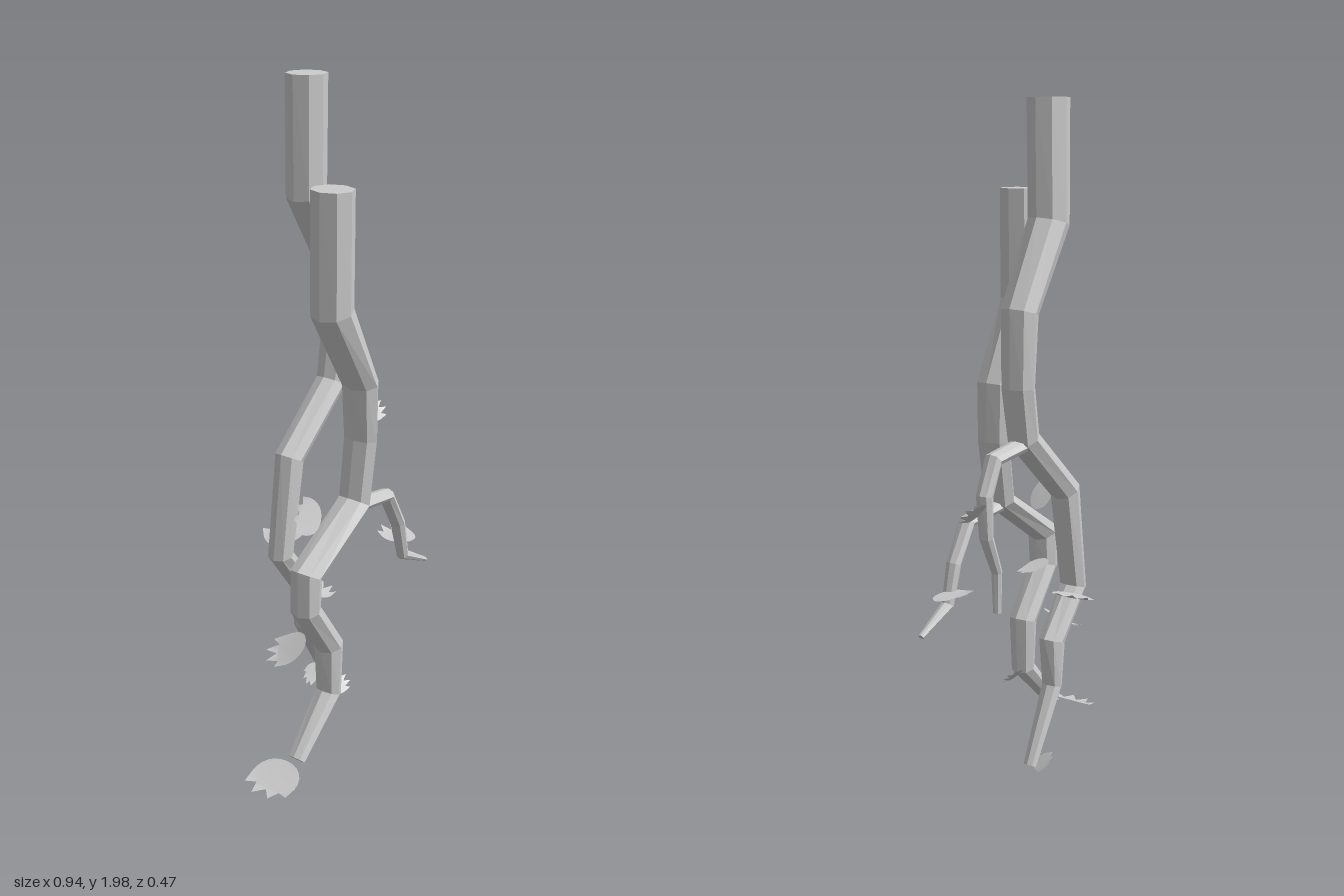
import * as THREE from 'three';

const SIDES = 8;

// Eight-sided tapering stem in a plane of constant z.
// Each point: [x, y, half width in the plane, half depth along z]
function stem(name, z, pts, material) {
  const pos = [], index = [];
  const n = pts.length;
  const dirs = pts.slice(1).map((p, i) => new THREE.Vector2(p[0] - pts[i][0], p[1] - pts[i][1]).normalize());
  pts.forEach(([x, y, a, b], i) => {
    const t = dirs[Math.max(i - 1, 0)].clone().add(dirs[Math.min(i, n - 2)]).normalize();
    for (let k = 0; k < SIDES; k++) {
      const u = (k / SIDES) * Math.PI * 2;
      pos.push(x - t.y * a * Math.cos(u), y + t.x * a * Math.cos(u), z + b * Math.sin(u));
    }
  });
  for (let i = 0; i < n - 1; i++) {
    for (let k = 0; k < SIDES; k++) {
      const a = i * SIDES + k, b = i * SIDES + (k + 1) % SIDES;
      index.push(a, b, a + SIDES, b, b + SIDES, a + SIDES);
    }
  }
  // end caps
  const last = (n - 1) * SIDES;
  for (let k = 1; k < SIDES - 1; k++) {
    index.push(0, k + 1, k, last, last + k, last + k + 1);
  }
  const g = new THREE.BufferGeometry();
  g.setAttribute('position', new THREE.Float32BufferAttribute(pos, 3));
  g.setIndex(index);
  g.computeVertexNormals();
  const mesh = new THREE.Mesh(g, material);
  mesh.name = name;
  return mesh;
}

// Rounded leaf with a toothed tip: unit length along +y, unit width along x
function leafGeometry() {
  const s = new THREE.Shape();
  s.moveTo(0, 0);
  s.bezierCurveTo(0.3, 0, 0.5, 0.2, 0.5, 0.5);
  [[0.45, 0.82], [0.27, 0.7], [0.16, 1], [0, 0.76], [-0.2, 0.98], [-0.28, 0.72], [-0.48, 0.78], [-0.5, 0.5]]
    .forEach(([x, y]) => s.lineTo(x, y));
  s.bezierCurveTo(-0.5, 0.2, -0.3, 0, 0, 0);
  const g = new THREE.ShapeGeometry(s, 6);
  // cup the blade slightly
  const p = g.attributes.position;
  for (let i = 0; i < p.count; i++) {
    p.setZ(i, 0.2 * p.getX(i) ** 2 - 0.1 * Math.sin(Math.PI * p.getY(i)));
  }
  g.computeVertexNormals();
  return g;
}

// Place a leaf from its base to its tip, facing roughly along "facing"
function leaf(name, geometry, material, base, tip, facing, width) {
  const b = new THREE.Vector3(...base);
  const d = new THREE.Vector3(...tip).sub(b);
  const length = d.length();
  d.normalize();
  const side = new THREE.Vector3().crossVectors(d, new THREE.Vector3(...facing)).normalize();
  const normal = new THREE.Vector3().crossVectors(side, d);
  const mesh = new THREE.Mesh(geometry, material);
  mesh.quaternion.setFromRotationMatrix(new THREE.Matrix4().makeBasis(side, d, normal));
  mesh.scale.set(width, length, length);
  mesh.position.copy(b);
  mesh.name = name;
  return mesh;
}

export function createModel() {
  const root = new THREE.Group();
  root.name = 'hangingVines';
  const bark = new THREE.MeshStandardMaterial({ color: 0xcccccc, flatShading: true });
  const blade = new THREE.MeshStandardMaterial({ color: 0xcccccc, side: THREE.DoubleSide });
  const zf = 0.165, zb = -0.087;

  // front vine with its side branch
  const front = new THREE.Group();
  front.name = 'frontVine';
  front.add(
    stem('frontStem', zf, [
      [-0.145, 1.74, 0.058, 0.064], [-0.145, 1.4, 0.058, 0.064], [-0.013, 1.16, 0.042, 0.061],
      [-0.008, 0.99, 0.035, 0.058], [-0.035, 0.8, 0.037, 0.055], [-0.262, 0.65, 0.046, 0.05],
      [-0.265, 0.54, 0.04, 0.049], [-0.155, 0.38, 0.042, 0.045], [-0.155, 0.22, 0.035, 0.04],
      [-0.31, 0.06, 0.02, 0.03]], bark),
    stem('frontBranch', zf, [
      [-0.04, 0.785, 0.02, 0.032], [0.125, 0.765, 0.02, 0.029], [0.19, 0.65, 0.02, 0.025],
      [0.22, 0.53, 0.018, 0.02], [0.345, 0.465, 0.007, 0.01]], bark));
  root.add(front);

  // back vine with its side branch
  const back = new THREE.Group();
  back.name = 'backVine';
  back.add(
    stem('backStem', zb, [
      [0.062, 2, 0.062, 0.06], [0.06, 1.66, 0.061, 0.06], [0.197, 1.42, 0.05, 0.056],
      [0.205, 1.21, 0.04, 0.053], [0.18, 1.06, 0.043, 0.049], [-0.025, 0.87, 0.045, 0.045],
      [-0.07, 0.565, 0.037, 0.042], [0.04, 0.42, 0.043, 0.037], [0.04, 0.28, 0.026, 0.033],
      [0.152, 0.06, 0.017, 0.022]], bark),
    stem('backBranch', zb, [
      [0.18, 1.045, 0.02, 0.033], [0.32, 1.025, 0.022, 0.029], [0.36, 0.93, 0.024, 0.025],
      [0.354, 0.81, 0.018, 0.022], [0.308, 0.7, 0.014, 0.017], [0.307, 0.58, 0.011, 0.012]], bark));
  root.add(back);

  // leaves: base, tip, facing, width
  const g = leafGeometry();
  const leaves = new THREE.Group();
  leaves.name = 'leaves';
  [
    [[-0.335, 0.06, 0.15], [-0.47, 0.015, 0.15], [-0.2, 1, 0], 0.16],
    [[-0.15, 0.765, 0.13], [-0.25, 0.83, 0.115], [0, 0.2, 1], 0.11],
    [[-0.22, 0.405, 0.13], [-0.28, 0.35, 0.025], [-0.3, 1, 0], 0.13],
    [[-0.225, 0.57, 0.14], [-0.11, 0.55, 0.13], [0.2, 1, 0.2], 0.09],
    [[0.0, 0.565, -0.12], [0.09, 0.595, -0.22], [-0.3, 1, 0], 0.13],
    [[0.235, 0.57, 0.175], [0.27, 0.59, 0.065], [0.1, 1, 0], 0.115],
    [[-0.13, 0.21, 0.155], [-0.05, 0.215, 0.16], [0, 0.7, 0.7], 0.06],
    [[0.145, 0.07, -0.1], [0.065, 0.05, -0.105], [0, 0.3, 1], 0.065],
    [[0.37, 0.89, -0.09], [0.465, 0.9, -0.09], [0, 0.7, 0.8], 0.075],
  ].forEach((l, i) => leaves.add(leaf('leaf' + (i + 1), g, blade, ...l)));
  root.add(leaves);

  return root;
}
